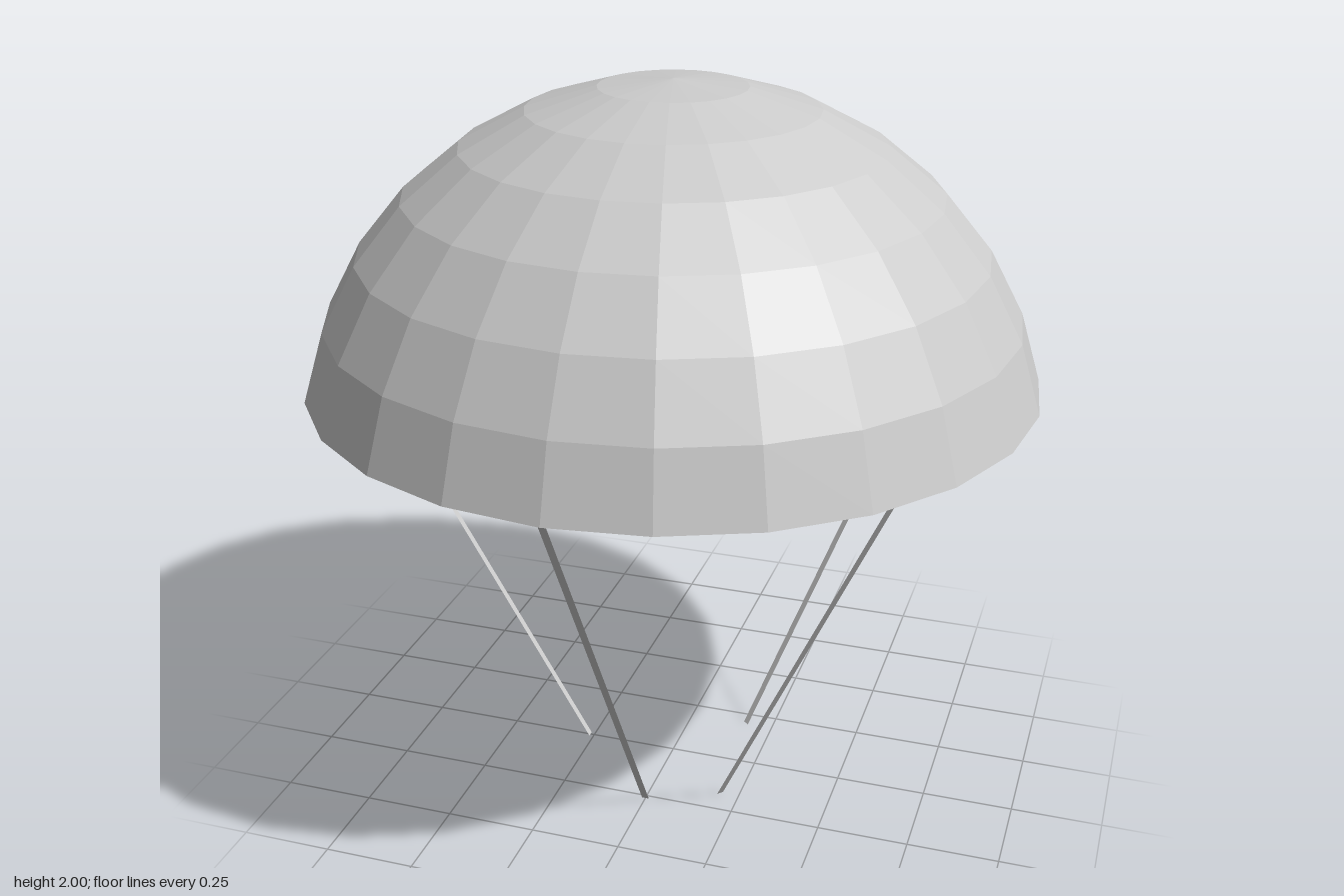
import * as THREE from 'three';

export function createModel() {
  const model = new THREE.Group();
  model.name = 'parachute';
  const material = new THREE.MeshStandardMaterial({
    color: 0xcccccc, flatShading: true, side: THREE.DoubleSide,
  });

  // Canopy: open faceted dome, cut a little above the sphere's equator
  const rimHeight = 1.2;
  const canopy = new THREE.Mesh(
    new THREE.SphereGeometry(1, 24, 7, 0, Math.PI * 2, 0, Math.acos(rimHeight - 1)),
    material,
  );
  canopy.name = 'canopy';
  canopy.position.y = 1;
  model.add(canopy);

  // Cords: flat ribbons running from the rim inwards and down to the ground
  const topRadius = 0.97, bottomRadius = 0.262, width = 0.02;
  const run = topRadius - bottomRadius;
  const ribbon = new THREE.PlaneGeometry(width, Math.hypot(run, rimHeight));
  ribbon.rotateX(Math.atan2(run, rimHeight));
  ribbon.translate(0, rimHeight / 2, (topRadius + bottomRadius) / 2);

  // Unevenly spaced headings, in degrees from the front towards +x
  const headings = { frontCord: 0, frontLeftCord: 48.3, backLeftCord: 140, rightCord: 270 };
  for (const [name, degrees] of Object.entries(headings)) {
    const cord = new THREE.Mesh(ribbon, material);
    cord.name = name;
    cord.rotation.y = THREE.MathUtils.degToRad(degrees);
    model.add(cord);
  }
  return model;
}
